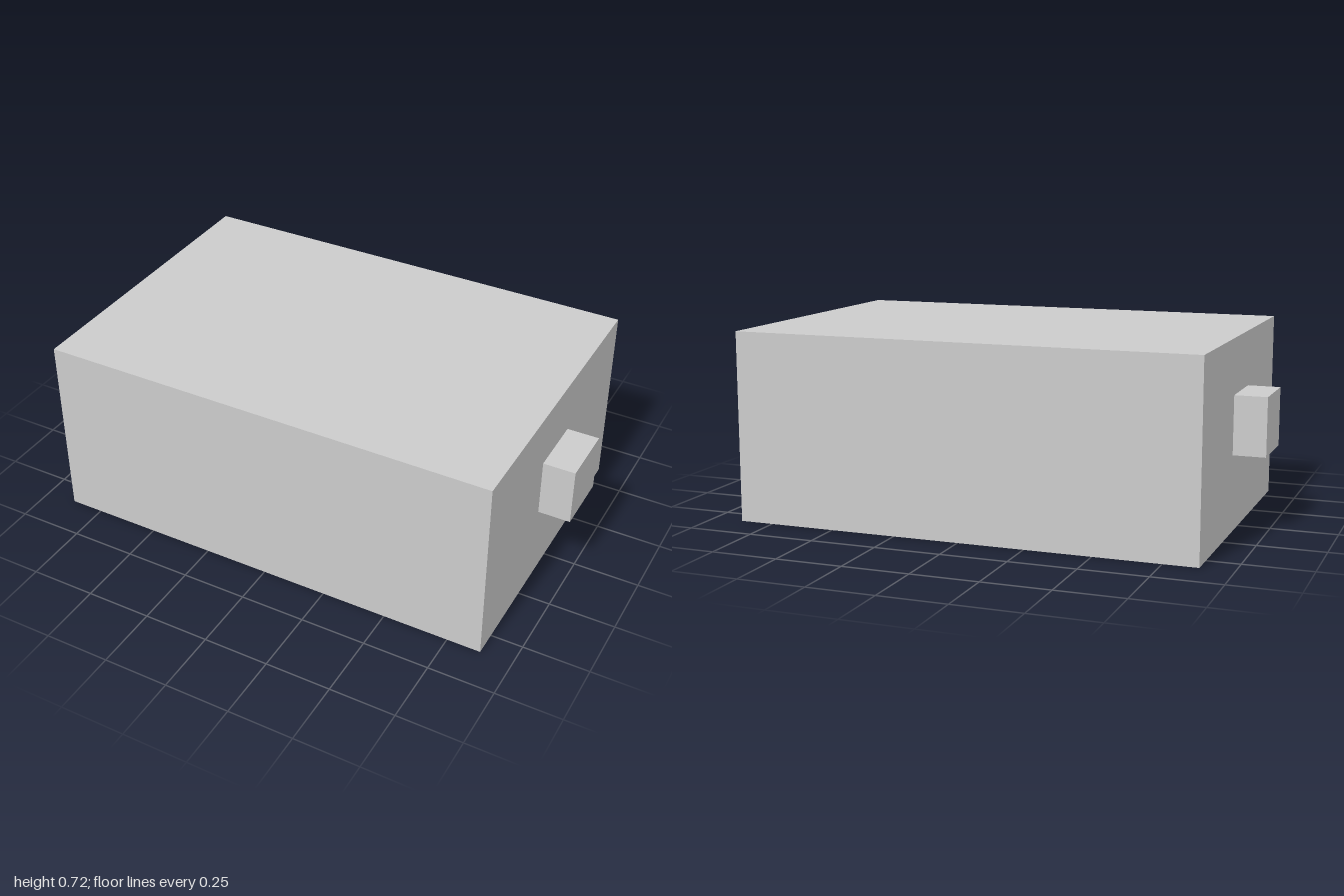
import * as THREE from 'three';

const material = new THREE.MeshStandardMaterial({ color: 0xcccccc, flatShading: true });

// Box given by its size and centre
function box(name, size, centre) {
  const mesh = new THREE.Mesh(new THREE.BoxGeometry(...size), material);
  mesh.name = name;
  mesh.position.set(...centre);
  return mesh;
}

export function createModel() {
  const model = new THREE.Group();
  model.name = 'boxWithSideKnobs';

  // Main block
  const width = 1.757, height = 0.718, depth = 1.187;
  model.add(box('body', [width, height, depth], [0, height / 2, 0]));

  // Knobs on the two ends, set slightly into the body
  const inner = width / 2 - 0.02;
  for (const [name, side] of [['leftKnob', 1], ['rightKnob', -1]]) {
    model.add(box(name, [1 - inner, 0.22, 0.236], [side * (1 + inner) / 2, 0.4, 0]));
  }

  return model;
}
